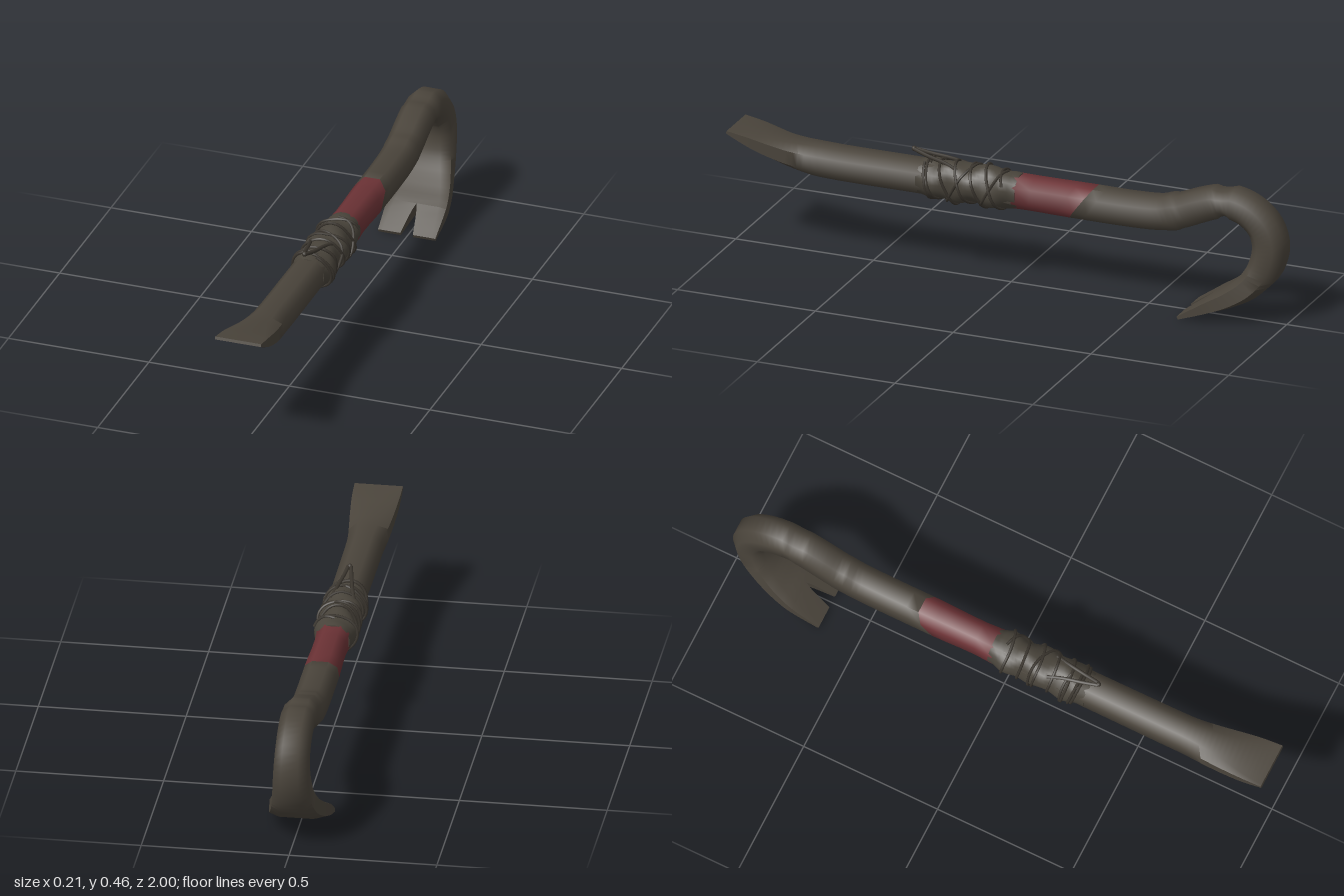
import * as THREE from 'three';
import { toCreasedNormals } from 'three/addons/utils/BufferGeometryUtils.js';

const mat = (name, color) => Object.assign(new THREE.MeshStandardMaterial({ color }), { name });
const V = (x, y, z) => new THREE.Vector3(x, y, z);

// Bar stations: z, y, half width, half thickness, corner squareness, slant of the cut
const stations = [
  [1.0, 0.416, 0.082, 0.005, 0.9, 0],
  [0.93, 0.393, 0.08, 0.019, 0.8, 0],
  [0.85, 0.368, 0.074, 0.034, 0.62, 0],
  [0.77, 0.349, 0.066, 0.046, 0.52, 0],
  [0.68, 0.339, 0.058, 0.054, 0.5, 0],
  [0.34, 0.336, 0.056, 0.055, 0.5, 0],
  [-0.02, 0.335, 0.055, 0.055, 0.5, 0],
  [-0.265, 0.334, 0.055, 0.056, 0.5, -0.75],
  [-0.45, 0.334, 0.055, 0.056, 0.5, 0],
  [-0.55, 0.34, 0.055, 0.056, 0.5, 0],
  [-0.62, 0.357, 0.055, 0.056, 0.5, 0],
  [-0.69, 0.386, 0.055, 0.055, 0.5, 0],
  [-0.75, 0.407, 0.055, 0.053, 0.5, 0],
  [-0.81, 0.412, 0.055, 0.053, 0.5, 0],
  [-0.875, 0.389, 0.055, 0.055, 0.5, 0],
  [-0.925, 0.34, 0.056, 0.057, 0.5, 0],
  [-0.943, 0.275, 0.059, 0.057, 0.5, 0],
  [-0.925, 0.2, 0.065, 0.053, 0.52, 0],
  [-0.885, 0.143, 0.076, 0.046, 0.56, 0],
  [-0.82, 0.095, 0.093, 0.035, 0.66, 0],
  [-0.75, 0.06, 0.104, 0.024, 0.75, 0],
  [-0.645, 0.008, 0.102, 0.006, 0.85, 0],
];
const last = stations.length - 1;
const RED_START = 6, RED_END = 7, NOTCH = last - 1;
const path = new THREE.CatmullRomCurve3(stations.map(s => V(s[4], s[1], s[0])));
const size = new THREE.CatmullRomCurve3(stations.map(s => V(s[2], s[3], s[5])));

// Places a section, given as [x, offset along the normal], on the bar at station u
function place(u, makeSection) {
  const t = u / last, c = path.getPoint(t), s = size.getPoint(t);
  const a = path.getPoint(Math.max(0, t - 0.002)), b = path.getPoint(Math.min(1, t + 0.002));
  const len = Math.hypot(b.y - a.y, b.z - a.z);
  const ny = -(b.z - a.z) / len, nz = (b.y - a.y) / len;
  return makeSection(s.x, s.y, c.x).map(([x, n]) => V(x, c.y + n * ny, c.z + n * nz + s.z * n * ny));
}

// Skin over a list of equal rings, with both ends closed
function loft(rings, crease) {
  const n = rings[0].length, pos = [], idx = [];
  rings.forEach(r => r.forEach(p => pos.push(p.x, p.y, p.z)));
  for (let i = 0; i < rings.length - 1; i++) {
    for (let j = 0; j < n; j++) {
      const a = i * n + j, b = i * n + (j + 1) % n;
      idx.push(a, a + n, b, b, a + n, b + n);
    }
  }
  const e = (rings.length - 1) * n;
  for (let j = 1; j < n - 1; j++) idx.push(0, j, j + 1, e, e + j + 1, e + j);
  const g = new THREE.BufferGeometry();
  g.setAttribute('position', new THREE.Float32BufferAttribute(pos, 3));
  g.setIndex(idx);
  return toCreasedNormals(g, crease);
}

const octagon = (w, h, c) => [
  [w, -h * c], [w, h * c], [w * c, h], [-w * c, h],
  [-w, h * c], [-w, -h * c], [-w * c, -h], [w * c, -h],
];

function barPiece(u0, u1, makeSection = () => octagon) {
  const steps = Math.round((u1 - u0) * 4), rings = [];
  for (let i = 0; i <= steps; i++) rings.push(place(u0 + (u1 - u0) * i / steps, makeSection(i / steps)));
  return loft(rings, 0.95);
}

// One half of the bar, its inner face moved aside to open the notch
const prong = side => t => (w, h, c) => {
  const gap = 0.022 * Math.pow(t, 0.75);
  const pts = [[gap, -h], [w * c, -h], [w, -h * c], [w, h * c], [w * c, h], [gap, h]];
  return side > 0 ? pts : pts.map(([x, n]) => [-x, n]).reverse();
};

// Lumpy radius of the cloth wrapping
const Z0 = -0.035, Z1 = 0.325, CY = 0.335;
function clothRadius(a, z) {
  const t = (z - Z0) / (Z1 - Z0);
  const ends = Math.min(1, Math.min(t, 1 - t) * 7 + 0.1);
  return 0.058 + ends * (0.009 + 0.004 * Math.sin(2 * a + z * 55) + 0.003 * Math.sin(3 * a - z * 38));
}
const onCloth = (a, z, lift = 0) => {
  const r = clothRadius(a, z) + lift;
  return V(r * Math.cos(a), CY + r * Math.sin(a), z);
};

export function createModel() {
  const steel = mat('dark steel', 0x4a443b);
  const red = mat('faded red paint', 0x6b3235);
  const cloth = mat('dirty cloth', 0x48433a);
  const cord = mat('dark cord', 0x3a352e);
  const model = new THREE.Group();
  model.name = 'pryBar';
  const add = (name, geometry, material) => {
    const m = new THREE.Mesh(geometry, material);
    m.name = name;
    model.add(m);
  };

  // Bar with chisel, painted band, hook and split claw
  add('chiselAndHandle', barPiece(0, RED_START), steel);
  add('paintedBand', barPiece(RED_START, RED_END), red);
  add('hook', barPiece(RED_END, NOTCH), steel);
  add('leftClaw', barPiece(NOTCH, last, prong(1)), steel);
  add('rightClaw', barPiece(NOTCH, last, prong(-1)), steel);

  // Cloth grip
  const rings = [];
  for (let i = 0; i <= 28; i++) {
    const z = Z1 + (Z0 - Z1) * i / 28;
    rings.push(Array.from({ length: 28 }, (_, j) => onCloth(j / 28 * Math.PI * 2, z)));
  }
  add('clothGrip', loft(rings, 1.0), cloth);

  // Cord wound both ways around the grip
  const tube = (pts, r) => new THREE.TubeGeometry(new THREE.CatmullRomCurve3(pts), pts.length * 2, r, 6);
  const winding = (z0, z1, turns, phase, tilt) => {
    const pts = [], n = Math.ceil(Math.abs(turns) * 18);
    for (let i = 0; i <= n; i++) {
      const a = phase + turns * Math.PI * 2 * i / n;
      pts.push(onCloth(a, z0 + (z1 - z0) * i / n + tilt * Math.sin(a), 0.003));
    }
    return tube(pts, 0.005);
  };
  add('cordWinding', winding(0.0, 0.28, 5, 0.4, 0.018), cord);
  add('crossingCord', winding(0.03, 0.27, -2, 1.6, -0.02), cord);
  add('endCord', winding(0.27, 0.29, 2, 1.2, 0.015), cord);

  // Loose cord ends meeting above the front of the grip
  for (const s of [1, -1]) {
    add(s > 0 ? 'leftCordEnd' : 'rightCordEnd', tube([
      V(s * 0.04, 0.388, 0.18), V(s * 0.027, 0.403, 0.23),
      V(s * 0.014, 0.415, 0.3), V(s * 0.004, 0.428, 0.352),
    ], 0.0065), cord);
  }
  const tip = new THREE.SphereGeometry(0.009, 8, 6);
  tip.translate(0, 0.428, 0.352);
  add('cordKnot', tip, cord);
  return model;
}
